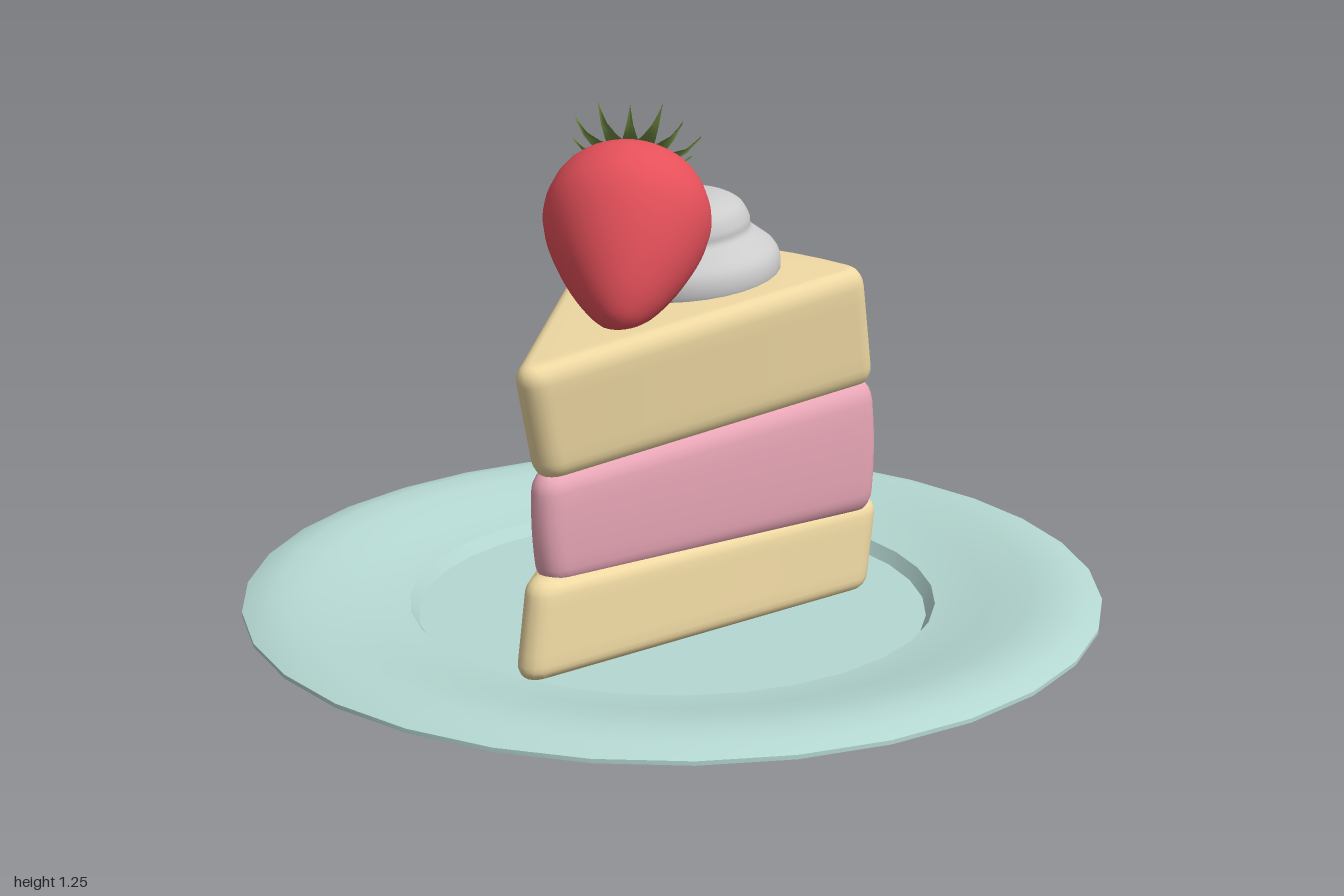
import * as THREE from 'three';
import { mergeVertices, toCreasedNormals } from 'three/addons/utils/BufferGeometryUtils.js';

const V2 = (x, y) => new THREE.Vector2(x, y);
const lerp = THREE.MathUtils.lerp;

function part(name, geometry, color, side = THREE.FrontSide) {
  const mesh = new THREE.Mesh(geometry, new THREE.MeshStandardMaterial({ color, side }));
  mesh.name = name;
  return mesh;
}

function lathe(profile, segments, crease) {
  const geo = new THREE.LatheGeometry(profile.map(p => V2(...p)), segments);
  return crease ? toCreasedNormals(geo, crease) : geo;
}

// Smooth profile through a few points
function smoothLathe(points, samples, segments) {
  const curve = new THREE.SplineCurve(points.map(p => V2(...p)));
  const profile = curve.getPoints(samples).map(p => [Math.max(p.x, 0), p.y]);
  return lathe(profile, segments);
}

// Wedge outline with rounded corners; shape y is -z
function wedgeShape() {
  const s = new THREE.Shape();
  s.moveTo(0.012, -0.482);
  s.lineTo(0.337, 0.27);
  s.quadraticCurveTo(0.345, 0.29, 0.325, 0.298);
  s.quadraticCurveTo(0, 0.405, -0.325, 0.298);
  s.quadraticCurveTo(-0.345, 0.29, -0.337, 0.27);
  s.lineTo(-0.012, -0.482);
  s.quadraticCurveTo(0, -0.51, 0.012, -0.482);
  return s;
}

// Soft-edged cake layer between two sloping planes [height at z = 0, slope along z],
// with its bottom and top slid along z by shift
function cakeLayer(name, color, bottom, top, shift, stretch, bulge) {
  const b = 0.035, depth = 0.15;
  let geo = new THREE.ExtrudeGeometry(wedgeShape(), {
    depth, steps: 6, bevelSize: b, bevelThickness: b, bevelSegments: 5, curveSegments: 8,
  });
  geo.rotateX(-Math.PI / 2);
  const p = geo.attributes.position;
  for (let i = 0; i < p.count; i++) {
    const t = (p.getY(i) + b) / (depth + 2 * b);
    const swell = 1 + bulge * Math.sin(Math.PI * t);
    const z = p.getZ(i) * stretch * swell + lerp(shift[0], shift[1], t);
    const y = lerp(bottom[0] + bottom[1] * z, top[0] + top[1] * z, t);
    p.setXYZ(i, p.getX(i) * swell - 0.02, y, z);
  }
  geo.deleteAttribute('normal');
  geo.deleteAttribute('uv');
  geo = toCreasedNormals(mergeVertices(geo, 1e-4), 0.65);
  return part(name, geo, color);
}

// Pointed leaf along +z, ridged in the middle and curling up at the end
function leafGeometry(length, width) {
  const geo = new THREE.PlaneGeometry(1, 1, 2, 5);
  geo.rotateX(-Math.PI / 2);
  const p = geo.attributes.position;
  for (let i = 0; i < p.count; i++) {
    const side = p.getX(i) * 2, t = p.getZ(i) + 0.5;
    const w = 0.5 * width * (t < 0.4 ? 0.45 + 1.375 * t : (1 - t) / 0.6);
    const y = 0.014 - 0.1 * t * t * length + 0.42 * length * t ** 4 - 0.006 * Math.abs(side);
    p.setXYZ(i, side * w, y, t * length);
  }
  geo.computeVertexNormals();
  return geo;
}

function strawberry() {
  const group = new THREE.Group();
  group.name = 'strawberry';
  const fruit = smoothLathe([[0, -0.44], [0.04, -0.425], [0.09, -0.375], [0.145, -0.29],
    [0.182, -0.2], [0.186, -0.13], [0.155, -0.055], [0.09, -0.008], [0, 0]], 32, 32);
  group.add(part('berry', fruit, 0xe5505a));

  // Ring of leaves and a short stem
  const count = 13;
  for (let i = 0; i < count; i++) {
    const leaf = part('leaf', leafGeometry(i % 2 ? 0.14 : 0.155, 0.046), 0x6f8a42, THREE.DoubleSide);
    leaf.rotation.y = (i / count) * Math.PI * 2;
    group.add(leaf);
  }
  const stem = part('stem', new THREE.CylinderGeometry(0.011, 0.014, 0.05, 10), 0x6f8a42);
  stem.position.y = 0.03;
  group.add(stem);

  // Leans back and to its right, tip forward
  group.position.set(-0.095, 1.105, 0.02);
  const axis = new THREE.Vector3(-0.13, 0.3, -0.26).normalize();
  group.quaternion.setFromUnitVectors(new THREE.Vector3(0, 1, 0), axis);
  return group;
}

export function createModel() {
  const model = new THREE.Group();
  model.name = 'cakeOnPlate';

  // Plate with foot, sloping rim and sunken well
  model.add(part('plate', lathe([[0, 0], [0.61, 0], [0.625, 0.055], [1, 0.115], [1, 0.124],
    [0.96, 0.14], [0.91, 0.148], [0.84, 0.141], [0.74, 0.115], [0.66, 0.096], [0.62, 0.09],
    [0.6, 0.06], [0, 0.06]], 32, 0.5), 0xb5d8d2));

  // Three layers of the slice, leaning forward towards the top
  const slice = new THREE.Group();
  slice.name = 'cakeSlice';
  const sponge = 0xeed8a2, filling = 0xe8a6b6;
  slice.add(
    cakeLayer('bottomSponge', sponge, [0.055, 0], [0.275, 0], [0.0, -0.045], 1.09, 0),
    cakeLayer('filling', filling, [0.25, 0], [0.55, -0.1], [-0.04, -0.025], 1.0, 0.02),
    cakeLayer('topSponge', sponge, [0.535, -0.1], [0.825, -0.14], [-0.035, 0.035], 1.0, 0),
  );
  model.add(slice);

  // Two-tiered dollop of cream following the slope of the top
  const cream = part('cream', smoothLathe([[0.2, -0.04], [0.23, 0.0], [0.226, 0.05], [0.19, 0.085],
    [0.168, 0.105], [0.165, 0.13], [0.145, 0.165], [0.09, 0.188], [0, 0.192]], 32, 32), 0xcccccc);
  cream.position.set(-0.04, 0.835, -0.11);
  cream.rotation.x = 0.13;
  model.add(cream);

  model.add(strawberry());
  return model;
}
